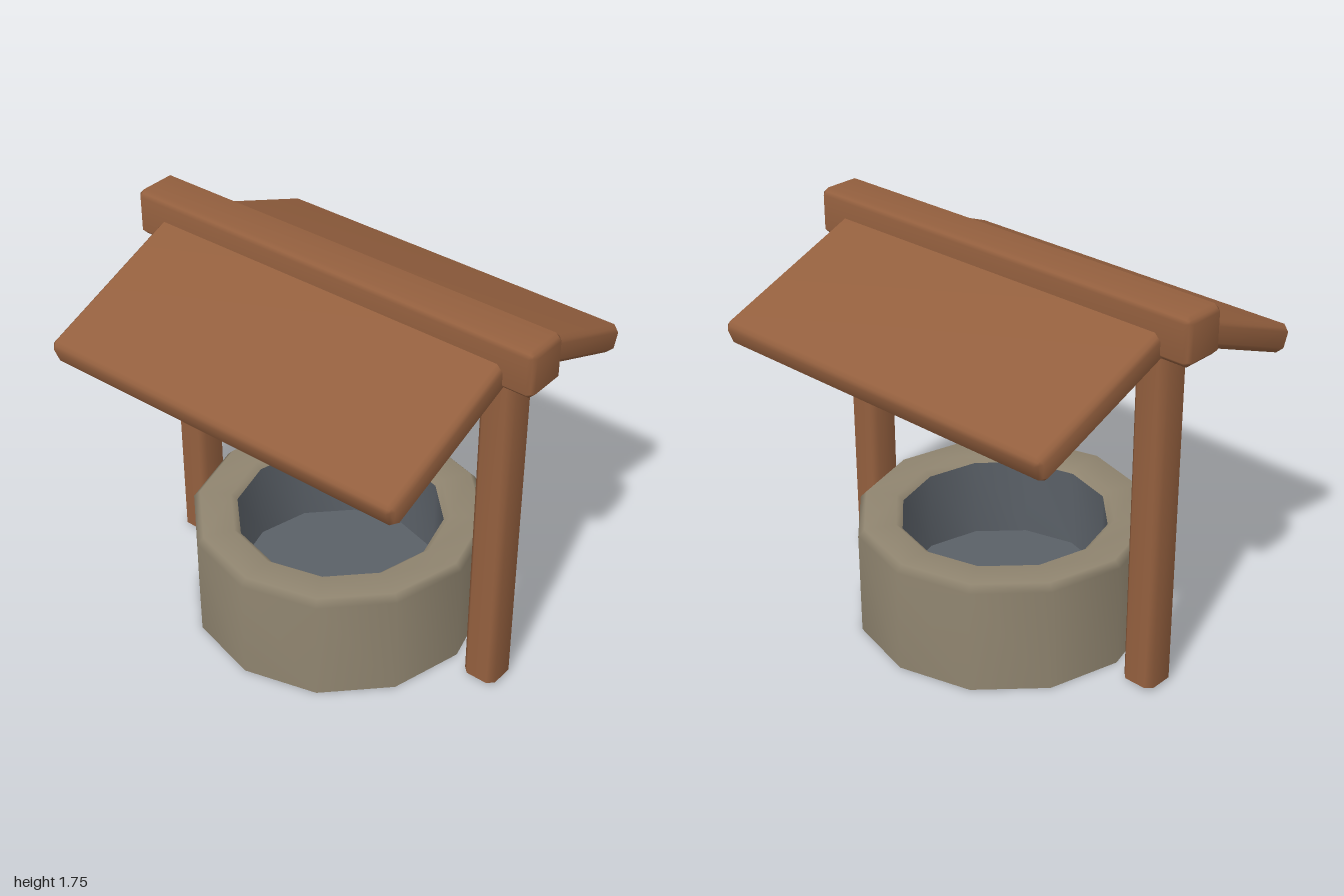
import * as THREE from 'three';
import { mergeVertices } from 'three/addons/utils/BufferGeometryUtils.js';

const makeMaterial = (color) => new THREE.MeshStandardMaterial({ color, side: THREE.DoubleSide });

// Weld seams and give area-weighted smooth normals
function smooth(geometry) {
  geometry.deleteAttribute('uv');
  geometry.deleteAttribute('normal');
  const welded = mergeVertices(geometry, 1e-4);
  welded.computeVertexNormals();
  return welded;
}

// Box whose edges and corners are cut off by a chamfer c
function chamferBox(w, h, d, c) {
  const geometry = new THREE.BoxGeometry(1, 1, 1, 3, 3, 3);
  const pos = geometry.attributes.position;
  const half = [w / 2, h / 2, d / 2];
  for (let i = 0; i < pos.count; i++) {
    const p = [pos.getX(i), pos.getY(i), pos.getZ(i)];
    const outer = p.filter((v) => Math.abs(v) > 0.4).length;
    const cut = [0, 0, c / 2, (c * 2) / 3][outer];
    const q = p.map((v, k) => Math.sign(v) * (half[k] - (Math.abs(v) > 0.4 ? cut : c)));
    pos.setXYZ(i, ...q);
  }
  return smooth(geometry);
}

// Square tube with chamfered long edges, open at the ends
function postGeometry(size, height, c) {
  const geometry = new THREE.CylinderGeometry(1, 1, height, 8, 1, true, Math.PI / 8);
  const pos = geometry.attributes.position;
  const snap = (v) => Math.sign(v) * (size / 2 - (Math.abs(v) > 0.6 ? 0 : c));
  for (let i = 0; i < pos.count; i++) {
    pos.setX(i, snap(pos.getX(i)));
    pos.setZ(i, snap(pos.getZ(i)));
  }
  return smooth(geometry);
}

function lathe(points) {
  return smooth(new THREE.LatheGeometry(points.map(([r, y]) => new THREE.Vector2(r, y)), 12));
}

export function createModel() {
  const model = new THREE.Group();
  model.name = 'well';
  const wood = makeMaterial(0x935f3e);
  const stone = makeMaterial(0x8f846f);
  const slate = makeMaterial(0x5a6067);

  const add = (name, geometry, material, x, y, z) => {
    const mesh = new THREE.Mesh(geometry, material);
    mesh.name = name;
    mesh.position.set(x, y, z);
    model.add(mesh);
    return mesh;
  };

  // Stone ring, open underneath, with a lining and a floor
  const ringX = 0.015;
  const inner = 0.455;
  add('stoneRing', lathe([[0.65, 0], [0.65, 0.475], [0.622, 0.505], [0.483, 0.505], [inner, 0.48]]),
    stone, ringX, 0, 0);
  add('shaftLining', lathe([[inner, 0.48], [inner, 0.115]]), slate, ringX, 0, 0);
  add('shaftFloor', new THREE.CircleGeometry(inner, 12).rotateX(-Math.PI / 2), slate, ringX, 0.115, 0);

  // Posts, running up into the beam
  const bottom = 0.015;
  const top = 1.6;
  for (const [name, x] of [['rightPost', -0.797], ['leftPost', 0.823]]) {
    add(name, postGeometry(0.155, top - bottom, 0.027), wood, x, (top + bottom) / 2, 0);
  }

  // Ridge beam
  add('ridgeBeam', chamferBox(2, 0.21, 0.21, 0.027), wood, 0, 1.645, 0);

  // Two sloping roof panels
  for (const [name, side] of [['frontRoofPanel', 1], ['backRoofPanel', -1]]) {
    const panel = add(name, chamferBox(1.74, 0.122, 0.762, 0.027), wood, 0, 1.465, side * 0.408);
    panel.rotation.x = side * THREE.MathUtils.degToRad(21.6);
  }

  return model;
}
